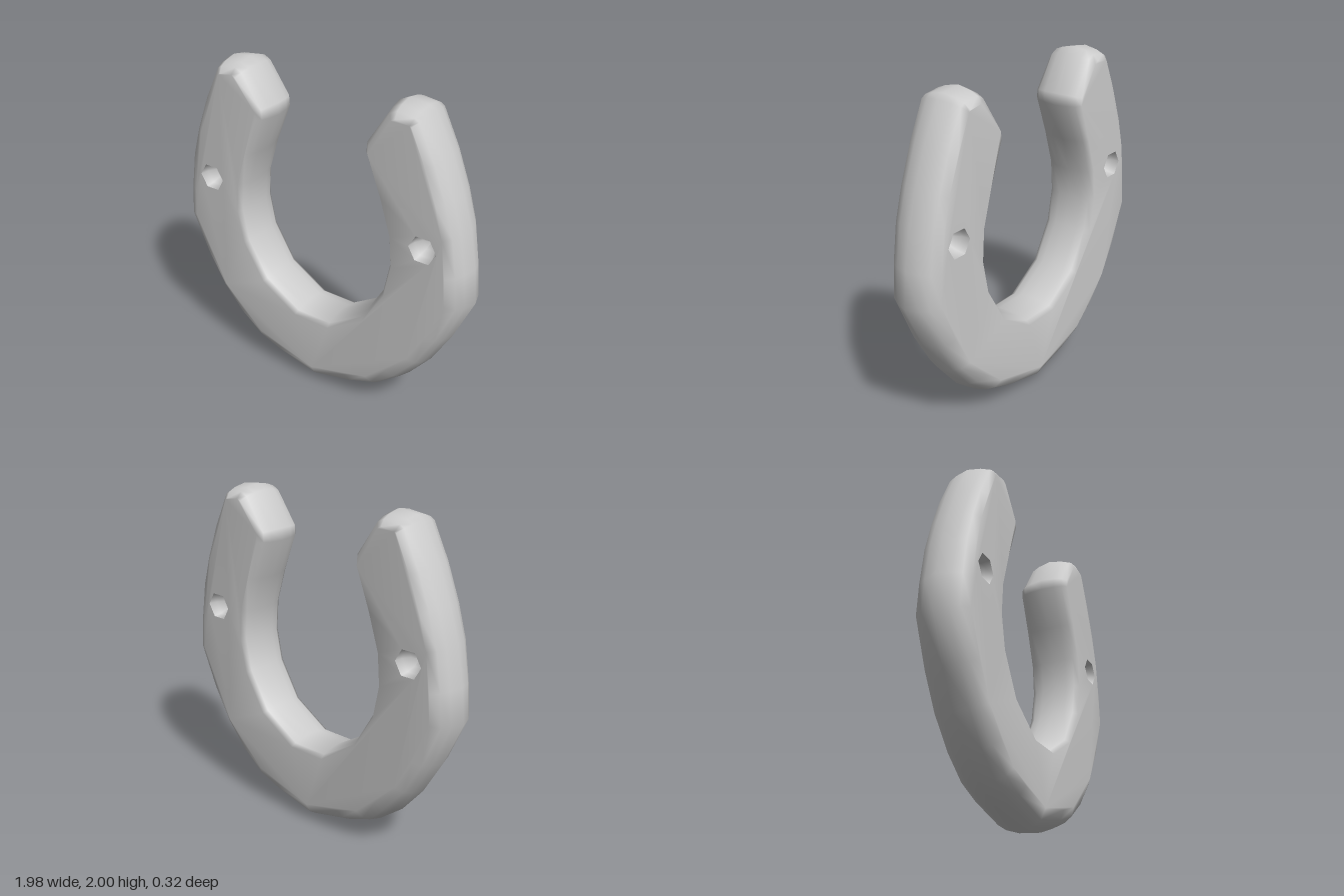
import * as THREE from 'three';
import { mergeGeometries, mergeVertices } from 'three/addons/utils/BufferGeometryUtils.js';

const HOLE = { x: 0.73, y: 1.235, r: 0.085, sides: 6 };
const DEPTH = 0.16;

// Half outline from bottom, up the outer edge, over the tip, down the inner edge: x, y, bevel width
const HALF = [
  [0.28, 0.07, 0.11], [0.45, 0.135, 0.11], [0.61, 0.26, 0.11], [0.75, 0.43, 0.1], [0.87, 0.64, 0.1],
  [0.99, 0.91, 0.11], [0.97, 1.12, 0.1], [0.93, 1.35, 0.09], [0.87, 1.54, 0.08], [0.79, 1.75, 0.08],
  [0.68, 1.96, 0.07], [0.64, 1.985, 0.07], [0.52, 2.0, 0.07], [0.46, 1.97, 0.07], [0.33, 1.76, 0.05],
  [0.325, 1.69, 0.05], [0.425, 1.45, 0.04], [0.49, 1.24, 0.04], [0.503, 1.06, 0.04], [0.465, 0.87, 0.04],
  [0.335, 0.65, 0.04], [0.11, 0.51, 0.04],
];

function outline() {
  const mirrored = HALF.map(([x, y, b]) => [-x, y, b]).reverse();
  return [[0, 0, 0.12], ...HALF, ...mirrored];
}

// Outline moved inwards by a fraction of each point's bevel width
function inset(points, fraction) {
  const n = points.length;
  return points.map(([x, y, b], i) => {
    const p = new THREE.Vector2(x, y);
    const before = p.clone().sub(new THREE.Vector2(...points[(i + n - 1) % n])).normalize();
    const after = new THREE.Vector2(...points[(i + 1) % n]).sub(p).normalize();
    const t = before.add(after).normalize();
    return new THREE.Vector2(x - t.y * b * fraction, y + t.x * b * fraction);
  });
}

function holeCorners(side) {
  return Array.from({ length: HOLE.sides }, (_, i) => {
    const a = (i / HOLE.sides) * Math.PI * 2;
    return new THREE.Vector2(side * HOLE.x + Math.cos(a) * HOLE.r, HOLE.y + Math.sin(a) * HOLE.r);
  });
}

// Front half: rounded rim from the middle ridge to the flat face
function frontHalf() {
  const points = outline();
  const n = points.length;
  const rings = [[0, 0], [0.22, 0.08], [0.5, 0.13], [1, DEPTH]];
  const positions = [], index = [];
  rings.forEach(([f, z], k) => {
    inset(points, f).forEach((p) => positions.push(p.x, p.y, z));
    if (k === rings.length - 1) return;
    for (let i = 0; i < n; i++) {
      const a = k * n + i, b = k * n + (i + 1) % n;
      index.push(a, b, b + n, a, b + n, a + n);
    }
  });
  const rim = new THREE.BufferGeometry();
  rim.setAttribute('position', new THREE.Float32BufferAttribute(positions, 3));
  rim.setIndex(index);

  const shape = new THREE.Shape(inset(points, 1));
  for (const side of [1, -1]) shape.holes.push(new THREE.Path(holeCorners(side)));
  const face = new THREE.ShapeGeometry(shape);
  face.translate(0, 0, DEPTH);
  face.deleteAttribute('normal');
  face.deleteAttribute('uv');
  return mergeGeometries([rim, face]);
}

export function createModel() {
  const group = new THREE.Group();
  group.name = 'horseshoe';
  const iron = new THREE.MeshStandardMaterial({ color: 0xcccccc, side: THREE.DoubleSide });
  iron.name = 'grey iron';

  // Body: the outline is symmetric, so the back is the front half turned round
  const front = frontHalf();
  const back = front.clone().rotateY(Math.PI);
  const bodyGeometry = mergeVertices(mergeGeometries([front, back]), 1e-4);
  bodyGeometry.computeVertexNormals();
  const body = new THREE.Mesh(bodyGeometry, iron);
  body.name = 'body';
  group.add(body);

  // Nail holes: shallow bowls sunk into both faces
  const profile = [[0, -0.11], [0.05, -0.095], [0.076, -0.05], [HOLE.r, 0]].map((p) => new THREE.Vector2(...p));
  const bowl = new THREE.LatheGeometry(profile, HOLE.sides, Math.PI / 2);
  bowl.rotateX(Math.PI / 2);
  for (const side of [1, -1]) {
    for (const facing of [1, -1]) {
      const hole = new THREE.Mesh(bowl, iron);
      hole.name = (facing > 0 ? 'front' : 'back') + (side > 0 ? 'Left' : 'Right') + 'NailHole';
      hole.position.set(side * HOLE.x, HOLE.y, facing * DEPTH);
      if (facing < 0) hole.rotation.y = Math.PI;
      group.add(hole);
    }
  }
  return group;
}
